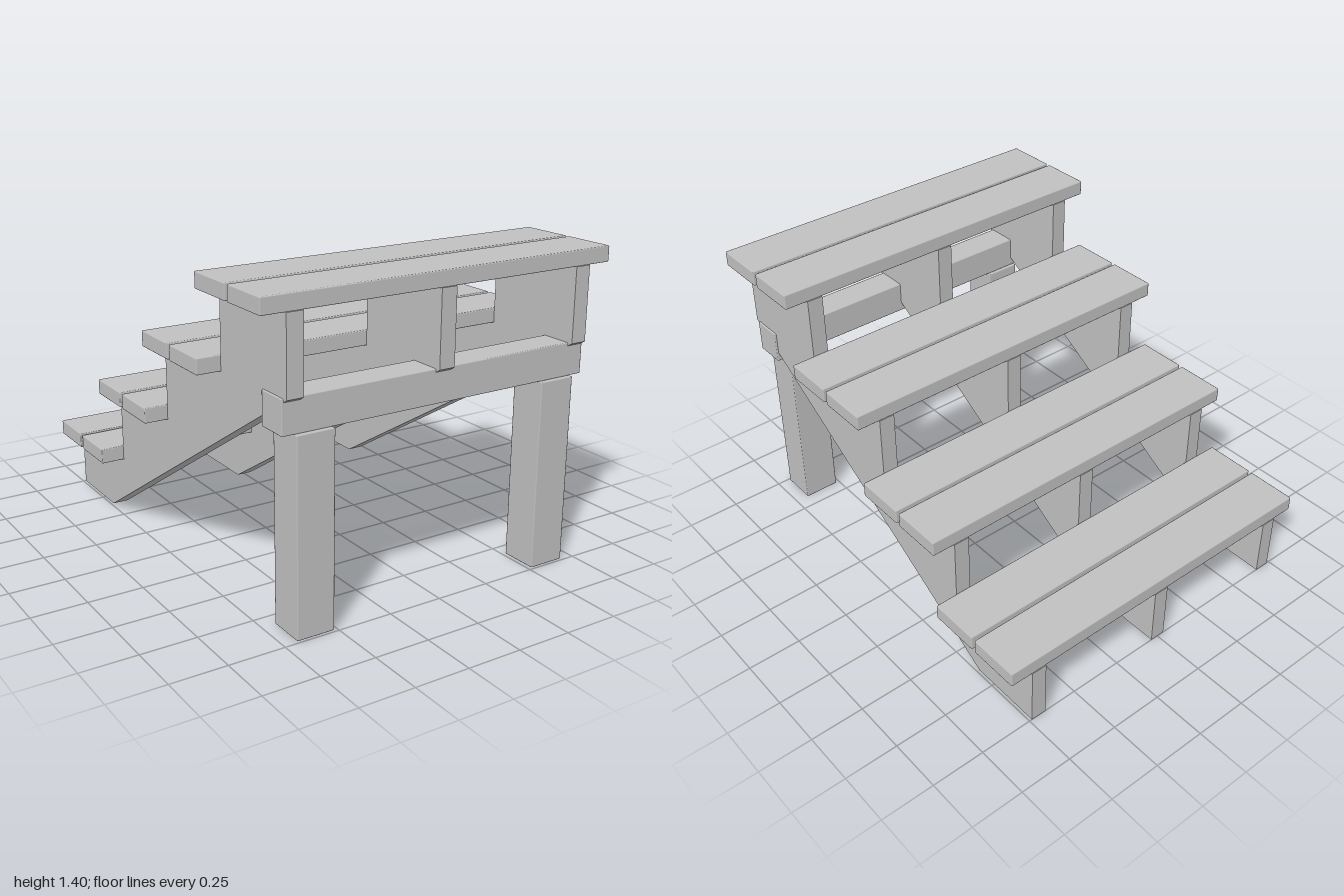
import * as THREE from 'three';
import { RoundedBoxGeometry } from 'three/addons/geometries/RoundedBoxGeometry.js';

export function createModel() {
  const group = new THREE.Group();
  group.name = 'openStairs';
  const timber = new THREE.MeshStandardMaterial({ color: 0xc0c0c0 });
  timber.name = 'grey timber';

  const add = (name, geometry, x = 0, y = 0, z = 0) => {
    const mesh = new THREE.Mesh(geometry, timber);
    mesh.name = name;
    mesh.position.set(x, y, z);
    group.add(mesh);
  };
  // timber with slightly eased edges
  const plank = (w, h, d) => new RoundedBoxGeometry(w, h, d, 1, 0.005);

  const steps = 4, run = 0.5, rise = 0.35, thick = 0.07;

  // sawtooth stringers, drawn as (z, y) and extruded across x
  const profile = new THREE.Shape();
  profile.moveTo(-1, 0);
  profile.lineTo(-0.65, 0);
  profile.lineTo(1, 1);
  for (let i = steps - 1; i >= 0; i--) {
    const y = (i + 1) * rise - thick;
    profile.lineTo(-1 + (i + 1) * run, y);
    profile.lineTo(-1 + i * run, y);
  }
  profile.closePath();
  const width = 0.074;
  const stringer = new THREE.ExtrudeGeometry(profile, { depth: width, bevelEnabled: false });
  stringer.translate(0, 0, -width / 2);
  stringer.rotateY(-Math.PI / 2);
  for (const x of [-0.7, 0, 0.7]) add('stringer', stringer, x);

  // two boards per tread with a narrow gap
  const board = plank(1.69, thick, 0.24);
  for (let i = 0; i < steps; i++) {
    for (const z of [0.121, 0.379]) {
      add('treadBoard', board, 0, (i + 1) * rise - thick / 2, -1 + i * run + z);
    }
  }

  // cross beam on two posts under the high end
  add('crossBeam', plank(1.49, 0.148, 0.146), 0, 0.926, 0.903);
  const post = plank(0.172, 0.852, 0.172);
  for (const side of [-1, 1]) add('post', post, side * 0.602, 0.426, 0.904);

  return group;
}
